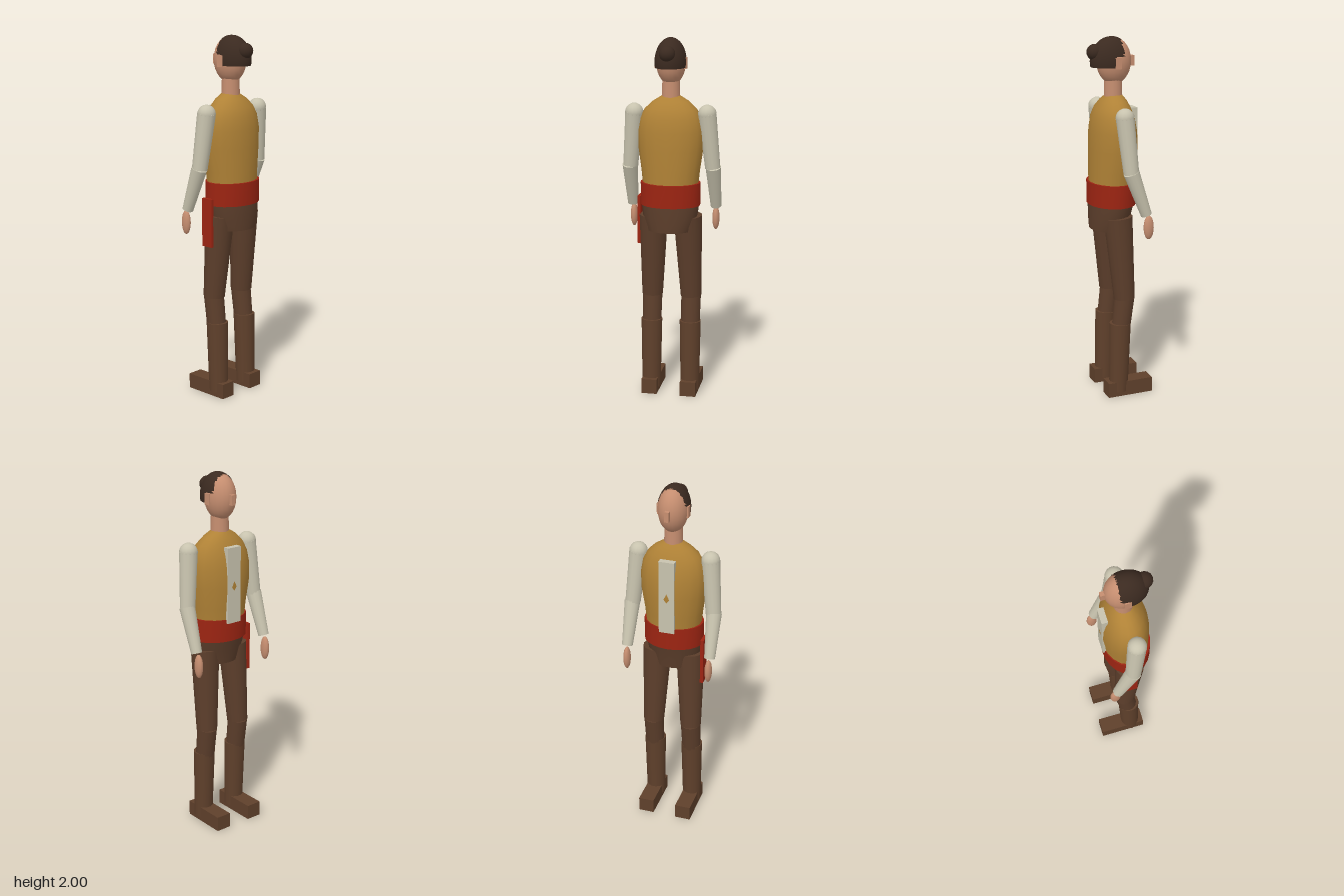
import * as THREE from 'three';

const mat = (name, color) => {
  const m = new THREE.MeshStandardMaterial({ color });
  m.name = name;
  return m;
};

// Closed stack of elliptical rings, each given as [y, centreX, radiusX, radiusZ]
function loft(rings, sides = 18) {
  const pos = [], idx = [], n = sides;
  for (const [y, cx, rx, rz] of rings)
    for (let i = 0; i < n; i++) {
      const a = (i / n) * Math.PI * 2;
      pos.push(cx + rx * Math.cos(a), y, rz * Math.sin(a));
    }
  for (let r = 0; r < rings.length - 1; r++)
    for (let i = 0; i < n; i++) {
      const a = r * n + i, b = r * n + (i + 1) % n;
      idx.push(a, a + n, b, b, a + n, b + n);
    }
  // flat end caps with their own vertices
  for (const end of [0, rings.length - 1]) {
    const c = pos.length / 3, [y, cx] = rings[end];
    pos.push(cx, y, 0);
    for (let i = 0; i < n; i++) pos.push(...pos.slice((end * n + i) * 3, (end * n + i) * 3 + 3));
    for (let i = 0; i < n; i++) {
      const a = c + 1 + i, b = c + 1 + (i + 1) % n;
      if (end === 0) idx.push(c, a, b); else idx.push(c, b, a);
    }
  }
  const g = new THREE.BufferGeometry();
  g.setAttribute('position', new THREE.Float32BufferAttribute(pos, 3));
  g.setIndex(idx);
  g.computeVertexNormals();
  return g;
}

export function createModel() {
  const root = new THREE.Group();
  root.name = 'figure';
  const skin = mat('skin', 0xc68e70);
  const hair = mat('hair', 0x3b2a20);
  hair.side = THREE.DoubleSide;
  const vest = mat('ochreVest', 0xb08236);
  const linen = mat('linen', 0xc8c3ae);
  const red = mat('redSash', 0x9c2412);
  const brown = mat('brownTrousers', 0x5c3e2b);
  const leather = mat('brownBoots', 0x5f402b);

  const add = (name, geo, m, parent = root) => {
    const mesh = new THREE.Mesh(geo, m);
    mesh.name = name;
    parent.add(mesh);
    return mesh;
  };
  // box from min and max corners
  const box = (name, m, a, b, parent) => {
    const mesh = add(name, new THREE.BoxGeometry(b[0] - a[0], b[1] - a[1], b[2] - a[2]), m, parent);
    mesh.position.set((a[0] + b[0]) / 2, (a[1] + b[1]) / 2, (a[2] + b[2]) / 2);
    return mesh;
  };
  const ball = (name, m, c, r, parent, w = 20, h = 14) => {
    const mesh = add(name, new THREE.SphereGeometry(1, w, h).scale(...r), m, parent);
    mesh.position.set(...c);
    return mesh;
  };
  // tapered limb between two points
  const limb = (name, m, top, bottom, rTop, rBottom, parent) => {
    const a = new THREE.Vector3(...top), b = new THREE.Vector3(...bottom);
    const mesh = add(name, new THREE.CylinderGeometry(rTop, rBottom, a.distanceTo(b), 14), m, parent);
    mesh.position.copy(a).add(b).multiplyScalar(0.5);
    mesh.quaternion.setFromUnitVectors(new THREE.Vector3(0, 1, 0), a.sub(b).normalize());
    return mesh;
  };

  // Head
  ball('head', skin, [0.008, 1.87, 0], [0.095, 0.125, 0.08]);
  add('neck', new THREE.CylinderGeometry(0.047, 0.05, 0.13, 16), skin).position.set(0.012, 1.73, 0);
  box('nose', skin, [-0.106, 1.84, -0.012], [-0.075, 1.895, 0.012]);
  for (const s of [1, -1])
    box('ear', skin, [-0.005, 1.835, s * 0.078 - 0.008], [0.03, 1.895, s * 0.078 + 0.008]);

  // Hair cap: an ellipsoid shell without its lower and face-side facets
  const cap = new THREE.SphereGeometry(1, 40, 28).scale(0.118, 0.13, 0.0845).translate(0.022, 1.87, 0);
  const p = cap.attributes.position, src = cap.index.array, kept = [];
  for (let i = 0; i < src.length; i += 3) {
    const t = [src[i], src[i + 1], src[i + 2]];
    const x = t.reduce((v, j) => v + p.getX(j), 0) / 3;
    const y = t.reduce((v, j) => v + p.getY(j), 0) / 3;
    if (y > 1.845 && x > (y > 1.9 ? -0.022 : 0.02)) kept.push(...t);
  }
  cap.setIndex(kept);
  add('hairCap', cap, hair);
  ball('hairBun', hair, [0.117, 1.92, 0], [0.043, 0.043, 0.043], root, 14, 10);

  // Torso
  add('vest', loft([
    [1.2, 0.022, 0.122, 0.152], [1.28, 0.02, 0.124, 0.16], [1.4, 0.014, 0.129, 0.177],
    [1.5, 0.015, 0.124, 0.181], [1.57, 0.016, 0.112, 0.168], [1.62, 0.016, 0.093, 0.142],
    [1.66, 0.012, 0.07, 0.1], [1.69, 0.01, 0.045, 0.05],
  ]), vest);
  box('shirtFront', linen, [-0.113, 1.2, -0.043], [-0.079, 1.618, 0.043]);
  add('sash', loft([[1.095, 0.025, 0.13, 0.165], [1.22, 0.025, 0.13, 0.165]], 24), red);
  box('sashTail', red, [-0.028, 0.868, 0.165], [0.042, 1.135, 0.183]);
  add('hips', loft([[0.955, 0.04, 0.105, 0.125], [1.03, 0.036, 0.112, 0.15], [1.11, 0.026, 0.122, 0.16]]), brown);

  for (const s of [1, -1]) {
    const side = s > 0 ? 'near' : 'far';
    // Arm
    const arm = new THREE.Group();
    arm.name = side + 'Arm';
    root.add(arm);
    ball('shoulder', linen, [0.025, 1.597, s * 0.2], [0.05, 0.05, 0.05], arm, 14, 10);
    limb('upperSleeve', linen, [0.025, 1.597, s * 0.2], [0, 1.3, s * 0.228], 0.05, 0.042, arm);
    limb('lowerSleeve', linen, [0, 1.305, s * 0.231], [-0.085, 1.07, s * 0.235], 0.043, 0.03, arm);
    ball('hand', skin, [-0.1, 0.998, s * 0.233], [0.029, 0.067, 0.02], arm, 14, 10);

    // Leg
    const leg = new THREE.Group();
    leg.name = side + 'Leg';
    root.add(leg);
    limb('thigh', brown, [0.022, 1.035, s * 0.095], [-0.01, 0.57, s * 0.11], 0.08, 0.059, leg);
    limb('shin', brown, [-0.012, 0.575, s * 0.11], [0.015, 0.35, s * 0.11], 0.056, 0.052, leg);
    limb('bootShaft', leather, [0.014, 0.425, s * 0.11], [0.025, 0.025, s * 0.111], 0.06, 0.053, leg);
    box('foot', leather, [-0.163, 0, s * 0.111 - 0.044], [0.099, 0.084, s * 0.111 + 0.044], leg);
  }
  return root;
}
